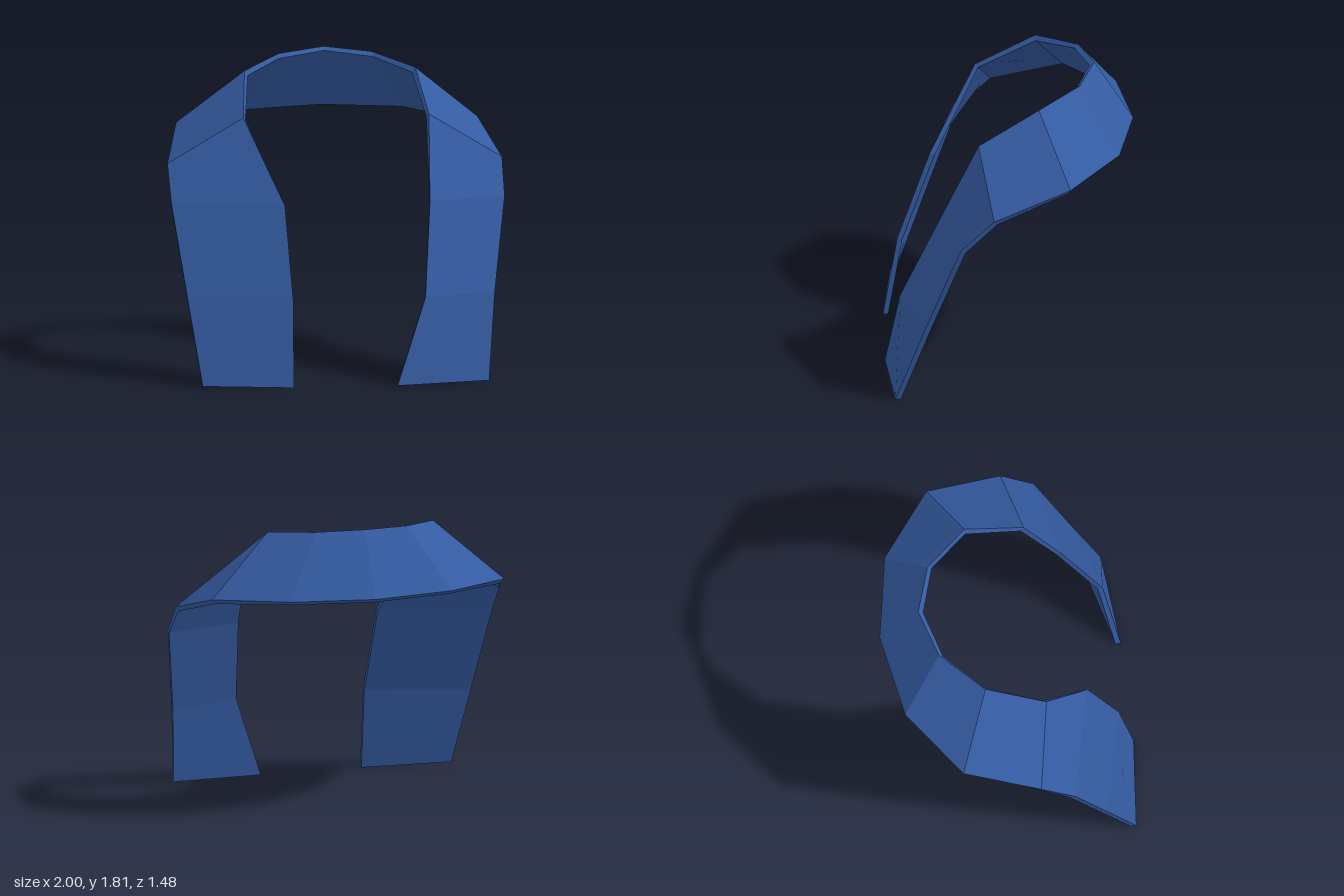
import * as THREE from 'three';

// One station of the band: inner rim and outer rim of the visible face, then the shift to the lining at each rim
const half = [
  { inner: [0.28, 1.79, -0.42], outer: [0.5, 1.435, -0.65], si: [0, -0.025, 0.025], so: [-0.02, -0.025, 0.025] },
  { inner: [0.51, 1.742, -0.17], outer: [0.9, 1.4, -0.35], si: [-0.02, -0.03, 0], so: [-0.025, -0.03, 0.01] },
  { inner: [0.555, 1.53, 0.19], outer: [1, 1.245, 0.105], si: [-0.015, -0.015, -0.02], so: [-0.01, -0.025, -0.015] },
];

const mirror = ([x, y, z]) => [-x, y, z];
const flip = (s) => ({ inner: mirror(s.inner), outer: mirror(s.outer), si: mirror(s.si), so: mirror(s.so) });

// Hanging ends, each given by its inner and outer rim from the shoulder down
const hanging = (innerRim, outerRim) => innerRim.map((inner, i) => {
  const shift = i === 2 ? [0, 0, -0.033] : [0, -0.01, -0.03];
  return { inner, outer: outerRim[i], si: shift, so: shift };
});

const rightEnd = hanging(
  [[-0.335, 1.05, 0.463], [-0.305, 0.51, 0.655], [-0.31, 0, 0.742]],
  [[-0.998, 1.05, 0.308], [-0.922, 0.51, 0.51], [-0.85, 0.01, 0.692]],
);
const leftEnd = hanging(
  [[0.537, 1.05, 0.415], [0.485, 0.515, 0.655], [0.31, 0, 0.742]],
  [[0.995, 1.05, 0.305], [0.915, 0.51, 0.508], [0.862, 0.01, 0.69]],
);
const nape = { inner: [0, 1.81, -0.51], outer: [0, 1.44, -0.741], si: [0, -0.02, 0.03], so: [0, -0.025, 0.03] };

// Closed four-sided band swept through the stations, with one normal per four-cornered face
function bandGeometry(stations) {
  const add = (p, s) => p.map((v, i) => v + s[i]);
  const rings = stations.map((s) => [s.inner, s.outer, add(s.outer, s.so), add(s.inner, s.si)]);
  const pos = [], normals = [];
  const quad = (...corners) => {
    const [a, b, c, d] = corners.map((p) => new THREE.Vector3(...p));
    const normal = c.clone().sub(a).cross(d.clone().sub(b)).normalize();
    for (const v of [a, b, c, a, c, d]) {
      pos.push(...v);
      normals.push(...normal);
    }
  };
  for (let i = 0; i < rings.length - 1; i++) {
    const [a, b, c, d] = rings[i], [a2, b2, c2, d2] = rings[i + 1];
    quad(a, a2, b2, b); // visible face
    quad(b, b2, c2, c); // outer rim
    quad(d2, d, c, c2); // lining, split along the same diagonal as the visible face
    quad(d, d2, a2, a); // inner rim
  }
  quad(...rings[0]);
  quad(...rings[rings.length - 1].slice().reverse());
  const geometry = new THREE.BufferGeometry();
  geometry.setAttribute('position', new THREE.Float32BufferAttribute(pos, 3));
  geometry.setAttribute('normal', new THREE.Float32BufferAttribute(normals, 3));
  return geometry;
}

export function createModel() {
  const group = new THREE.Group();
  group.name = 'scarf';
  const blueCloth = new THREE.MeshStandardMaterial({ color: 0x345ba1, side: THREE.DoubleSide });
  blueCloth.name = 'blueCloth';

  // From the right end up round the nape and down to the left end
  const stations = [
    ...rightEnd.slice().reverse(),
    ...half.slice().reverse().map(flip),
    nape,
    ...half,
    ...leftEnd,
  ];
  const band = new THREE.Mesh(bandGeometry(stations), blueCloth);
  band.name = 'scarfBand';
  group.add(band);
  return group;
}
